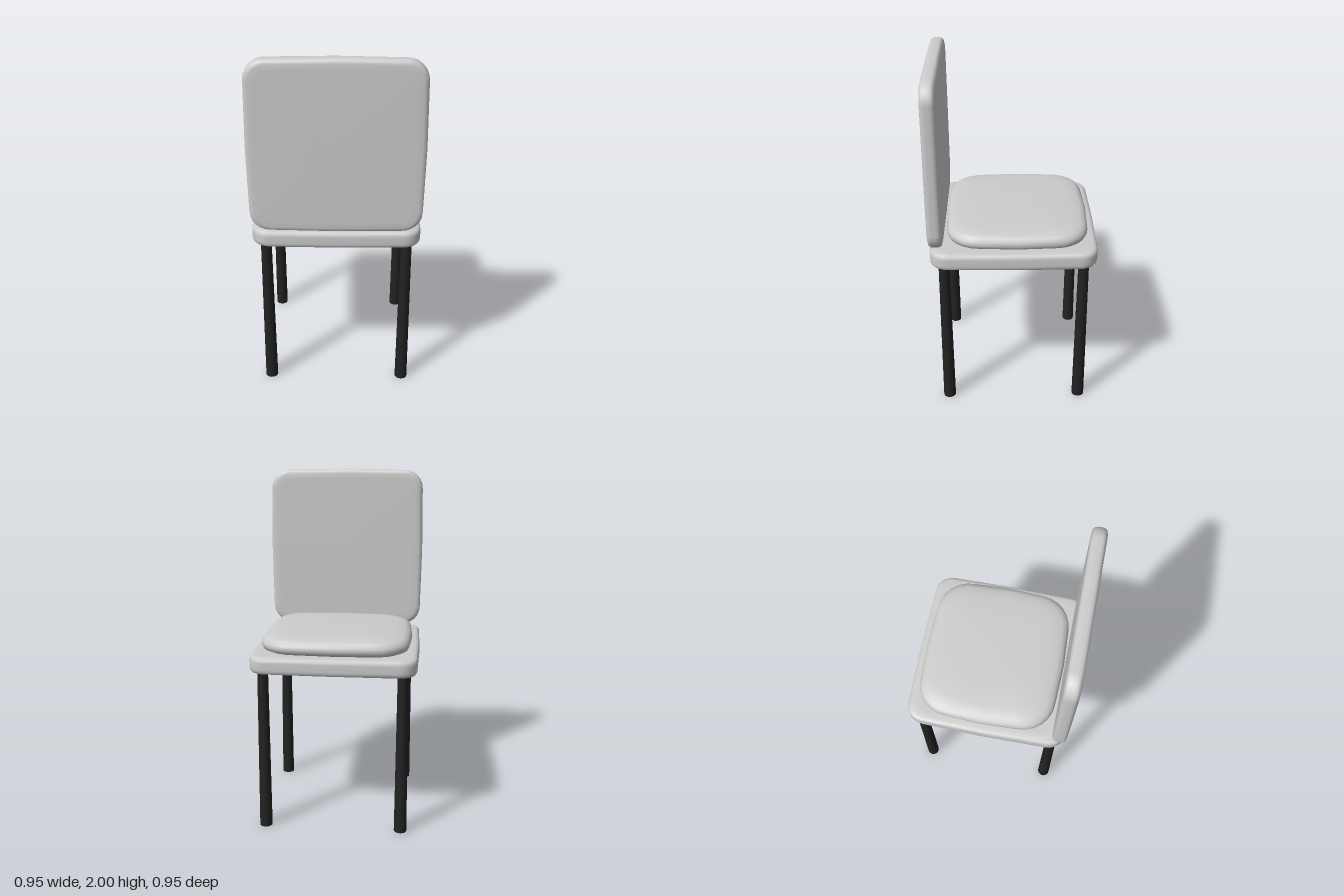
import * as THREE from 'three';
import { mergeVertices } from 'three/addons/utils/BufferGeometryUtils.js';

// Rounded outline with slightly bowed sides; half sizes w and d, corner radius r.
function outline(w, d, r, bow) {
  const pts = [];
  const corners = [[1, 1], [-1, 1], [-1, -1], [1, -1]];
  const mids = [[0, d], [-w, 0], [0, -d], [w, 0]];
  const steps = 6;
  corners.forEach(([sx, sz], c) => {
    for (let k = 0; k <= steps; k++) {
      const a = (c + k / steps) * Math.PI / 2;
      pts.push([sx * Math.max(w - r - bow, 0) + r * Math.cos(a),
        sz * Math.max(d - r - bow, 0) + r * Math.sin(a)]);
    }
    pts.push(mids[c]);
  });
  return pts;
}

// Soft slab lofted through [inset, y] rings, closed at top and bottom centres.
function softSlab(w, d, r, bow, rings) {
  const pos = [], index = [];
  const n = outline(w, d, r, bow).length;
  for (const [inset, y] of rings) {
    const closed = inset >= Math.min(w, d);
    const loop = closed ? Array(n).fill([0, 0])
      : outline(w - inset, d - inset, Math.max(r - inset * 0.6, 0.02), bow);
    for (const [x, z] of loop) pos.push(x, y, z);
  }
  for (let i = 0; i < rings.length - 1; i++) {
    for (let j = 0; j < n; j++) {
      const p = i * n + j, q = i * n + (j + 1) % n;
      if (rings[i][0] < 1) index.push(p, p + n, q);
      if (rings[i + 1][0] < 1) index.push(q, p + n, q + n);
    }
  }
  const geo = new THREE.BufferGeometry();
  geo.setAttribute('position', new THREE.Float32BufferAttribute(pos, 3));
  geo.setIndex(index);
  const merged = mergeVertices(geo, 1e-5);
  merged.computeVertexNormals();
  return merged;
}

// Flat board profile with a small rounded rim.
const boardRings = (h) => [
  [1, 0], [0.06, 0], [0.025, 0.001], [0.009, 0.006], [0.002, 0.017], [0, 0.03],
  [0, h - 0.03], [0.002, h - 0.017], [0.009, h - 0.006], [0.025, h - 0.001], [0.06, h], [1, h],
];

export function createModel() {
  const group = new THREE.Group();
  const paleGrey = new THREE.MeshStandardMaterial({ color: 0xcccccc });
  const black = new THREE.MeshStandardMaterial({ color: 0x222222 });
  const add = (name, geo, mat, x, y, z) => {
    const mesh = new THREE.Mesh(geo, mat);
    mesh.name = name;
    mesh.position.set(x, y, z);
    group.add(mesh);
    return mesh;
  };

  // Seat board
  add('seat', softSlab(0.473, 0.473, 0.1, 0.006, boardRings(0.1)), paleGrey, 0, 0.927, 0);

  // Puffy cushion on the seat
  const cushionRings = [
    [1, 0], [0.08, 0], [0.03, 0.004], [0.008, 0.016], [0, 0.036], [0.003, 0.056],
    [0.016, 0.074], [0.04, 0.086], [0.09, 0.094], [0.2, 0.099], [1, 0.101],
  ];
  add('cushion', softSlab(0.43, 0.408, 0.19, 0.01, cushionRings), paleGrey, 0, 1.024, -0.022);

  // Upright backrest
  const back = add('backrest', softSlab(0.473, 0.485, 0.11, 0.006, boardRings(0.083)),
    paleGrey, 0, 1.515, 0.39);
  back.rotation.x = Math.PI / 2;

  // Slightly tapered legs
  const legGeo = new THREE.CylinderGeometry(0.03, 0.036, 0.935, 24);
  for (const x of [-0.39, 0.39]) {
    for (const z of [-0.39, 0.39]) add('leg', legGeo, black, x, 0.4675, z);
  }
  return group;
}
